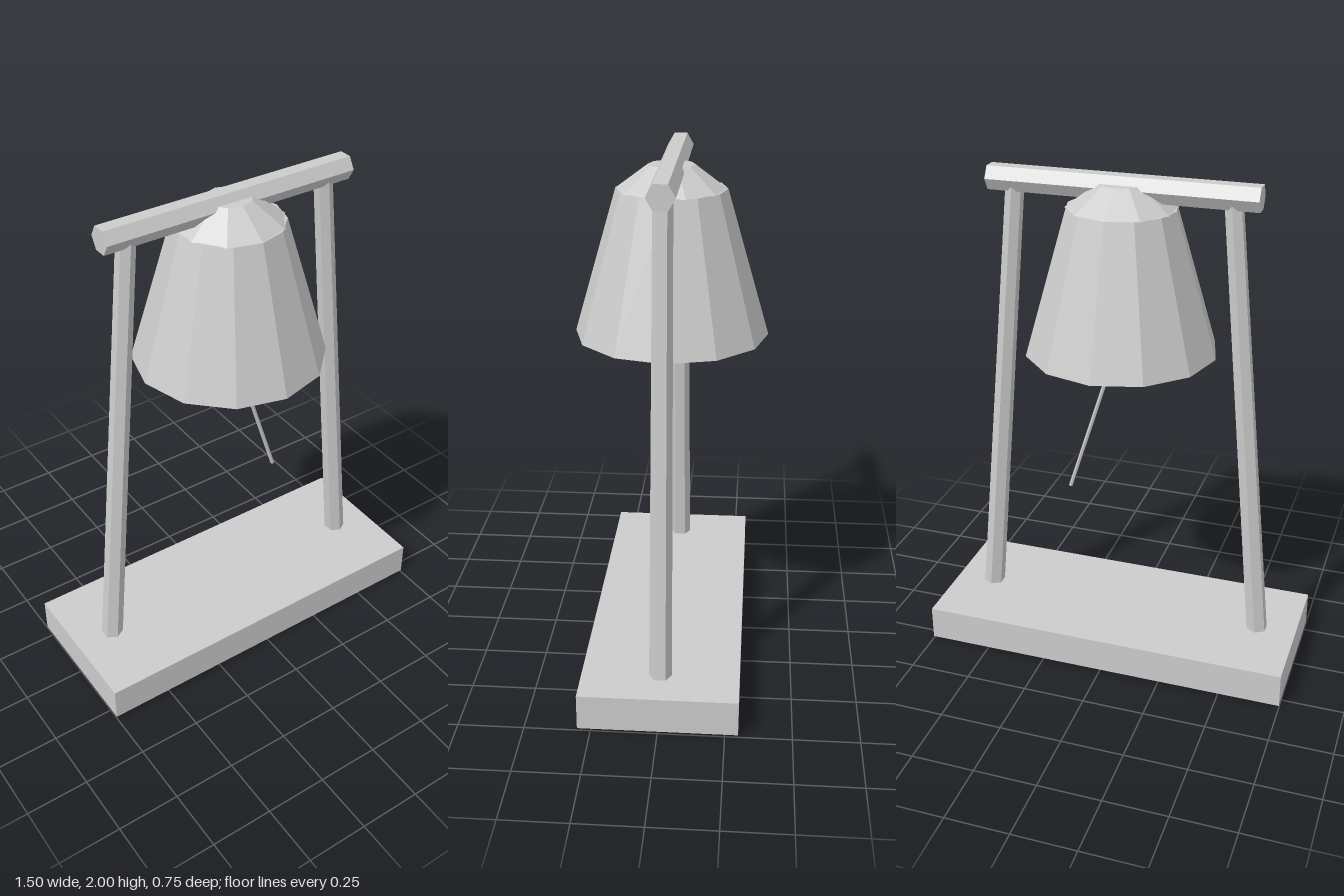
import * as THREE from 'three';

export function createModel() {
  const model = new THREE.Group();
  const grey = new THREE.MeshStandardMaterial({ color: 0xcccccc, flatShading: true });
  grey.name = 'plain grey';

  const add = (name, geometry, x = 0, y = 0, z = 0) => {
    const mesh = new THREE.Mesh(geometry, grey);
    mesh.name = name;
    mesh.position.set(x, y, z);
    model.add(mesh);
    return mesh;
  };

  // Tapered rod between two points
  const rod = (name, from, to, rFrom, rTo, sides = 6) => {
    const a = new THREE.Vector3(...from), b = new THREE.Vector3(...to);
    const dir = b.clone().sub(a);
    const mid = a.clone().add(b).multiplyScalar(0.5);
    const mesh = add(name, new THREE.CylinderGeometry(rTo, rFrom, dir.length(), sides), mid.x, mid.y, mid.z);
    mesh.quaternion.setFromUnitVectors(new THREE.Vector3(0, 1, 0), dir.normalize());
    return mesh;
  };

  // Base slab
  add('base', new THREE.BoxGeometry(1.5, 0.14, 0.6), 0, 0.08, 0);

  // Leaning posts, just poking out under the slab
  for (const [side, name] of [[1, 'leftPost'], [-1, 'rightPost']]) {
    rod(name, [side * 0.602, 0.005, 0], [side * 0.42, 1.925, 0], 0.044, 0.036);
  }

  // Hexagonal crossbeam
  rod('crossbeam', [-0.52, 1.955, 0], [0.52, 1.955, 0], 0.052, 0.052);

  // Bell body and its shoulder cap
  add('bell', new THREE.CylinderGeometry(0.21, 0.373, 0.56, 12), 0, 1.602, 0);
  add('bellCap', new THREE.CylinderGeometry(0.088, 0.21, 0.09, 10), 0, 1.925, 0);

  // Slanted pull cord
  rod('cord', [0.222, 0.682, 0], [0, 1.385, 0], 0.008, 0.008);

  return model;
}
